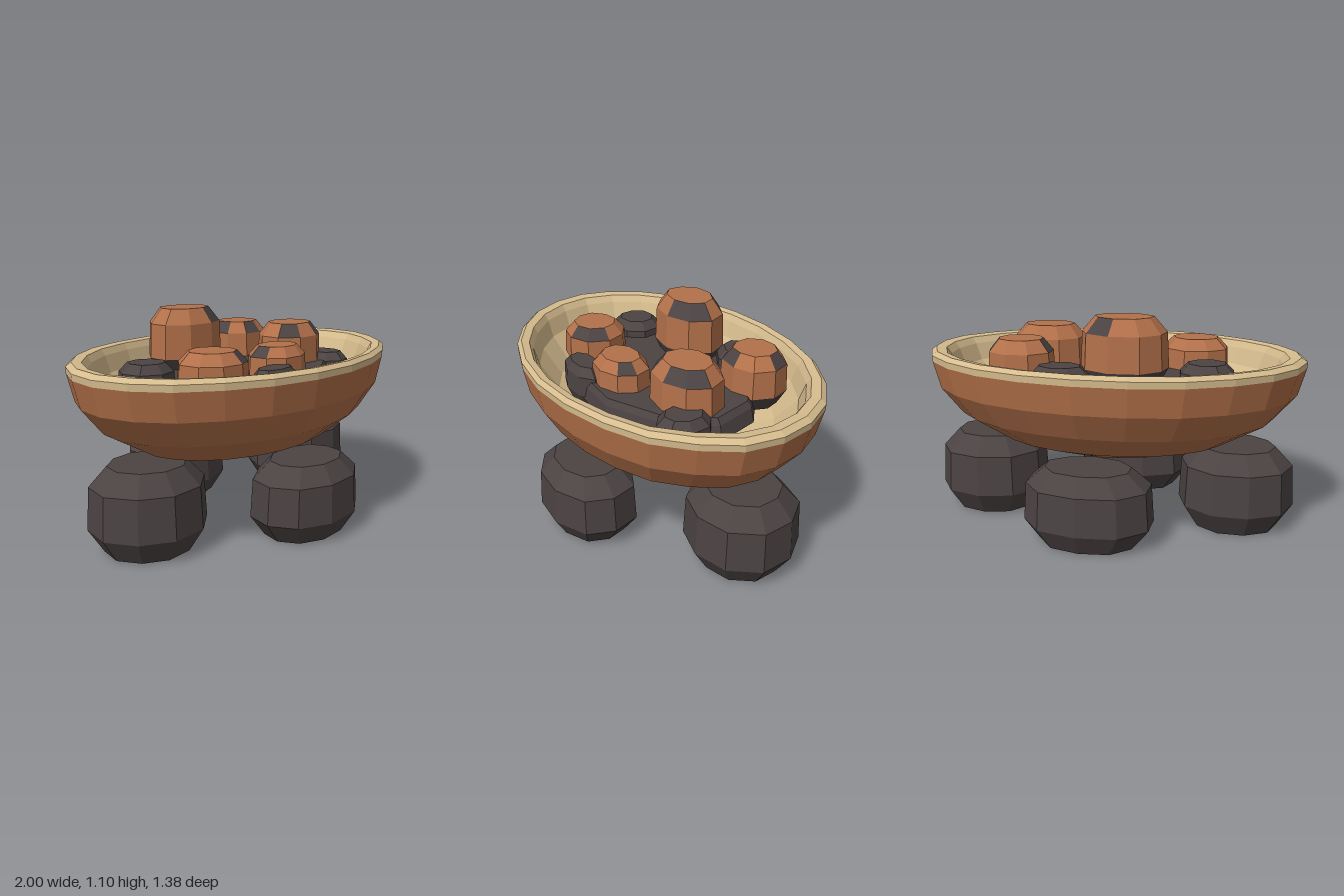
import * as THREE from 'three';

const material = (name, color) => {
  const m = new THREE.MeshStandardMaterial({ color });
  m.name = name;
  return m;
};

// Small seeded generator for hand-hewn irregularity
function seeded(seed) {
  let s = seed * 7919 + 17;
  return () => (s = (s * 16807) % 2147483647) / 2147483647;
}

// Faceted loft through elliptical rings [scale, y], bottom to top.
// pick(band, side) returns a material index; caps use bands -1 and rings.length - 1.
function loft({ rings, sides, rx, rz, seed = 1, wobble = 0, turn = 0, bottom = true, top = true, pick = () => 0 }) {
  const rand = seeded(seed);
  for (let k = 0; k < 5; k++) rand();
  const wob = Array.from({ length: sides }, () => 1 + (rand() - 0.5) * wobble);
  const point = (j, i) => {
    const k = i % sides, a = turn + (k / sides) * Math.PI * 2;
    const r = rings[j][0] * wob[k];
    return [Math.cos(a) * r * rx, rings[j][1], Math.sin(a) * r * rz];
  };
  const buckets = [[], []];
  const last = rings.length - 1;
  for (let i = 0; i < sides; i++) {
    for (let j = 0; j < last; j++) {
      const a = point(j, i), b = point(j, i + 1), c = point(j + 1, i + 1), d = point(j + 1, i);
      buckets[pick(j, i)].push(...a, ...d, ...c, ...a, ...c, ...b);
    }
    if (bottom) buckets[pick(-1, i)].push(0, rings[0][1], 0, ...point(0, i), ...point(0, i + 1));
    if (top) buckets[pick(last, i)].push(0, rings[last][1], 0, ...point(last, i + 1), ...point(last, i));
  }
  const geo = new THREE.BufferGeometry();
  geo.setAttribute('position', new THREE.Float32BufferAttribute(buckets.flat(), 3));
  geo.addGroup(0, buckets[0].length / 3, 0);
  if (buckets[1].length) geo.addGroup(buckets[0].length / 3, buckets[1].length / 3, 1);
  geo.computeVertexNormals();
  return geo;
}

// Chunky rock: tapered base, upright waist, tapered top
const rockRings = (y0, y1) => {
  const h = y1 - y0;
  return [[0.74, y0], [1, y0 + h * 0.28], [0.96, y0 + h * 0.78], [0.66, y1]];
};

export function createModel() {
  const copper = material('copper', 0xb3714a);
  const cream = material('cream', 0xd6bc8e);
  const charcoal = material('charcoal', 0x4c4343);

  const model = new THREE.Group();
  model.name = 'emberBowl';
  const add = (name, geo, mat, x = 0, z = 0) => {
    const mesh = new THREE.Mesh(geo, mat);
    mesh.name = name;
    mesh.position.set(x, 0, z);
    model.add(mesh);
  };

  // Bowl: outer shell, rim and lining share one irregular oval
  const oval = { sides: 24, rx: 1, rz: 0.693, seed: 4, wobble: 0.014 };
  add('bowlShell', loft({
    ...oval, top: false,
    rings: [[0.28, 0.35], [0.62, 0.44], [0.84, 0.565], [0.955, 0.7], [0.993, 0.84]],
  }), copper);
  add('bowlRim', loft({
    ...oval, bottom: false, top: false,
    rings: [[0.993, 0.84], [0.995, 0.872], [0.965, 0.892], [0.91, 0.885], [0.885, 0.85]],
  }), cream);
  add('bowlLining', loft({
    ...oval, bottom: false,
    rings: [[0.885, 0.85], [0.85, 0.76], [0.72, 0.63], [0.48, 0.53]],
  }), cream);

  // Stone feet: [name, x, z, rx, rz, height]
  const feet = [
    ['frontFoot', -0.015, 0.455, 0.335, 0.24, 0.385],
    ['backFoot', 0, -0.445, 0.33, 0.235, 0.385],
    ['rightFoot', -0.675, -0.01, 0.295, 0.27, 0.425],
    ['leftFoot', 0.66, -0.06, 0.298, 0.278, 0.425],
  ];
  feet.forEach(([name, x, z, rx, rz, h], i) => add(name,
    loft({ rings: rockRings(0, h), sides: 10, rx, rz, seed: 11 + i, wobble: 0.06, turn: i * 0.3 }),
    charcoal, x, z));

  // Bed of ash under the coals
  add('ashBed', loft({
    rings: [[0.85, 0.61], [1, 0.69], [0.97, 0.76], [0.93, 0.79]],
    sides: 11, rx: 0.68, rz: 0.435, seed: 23, wobble: 0.1, turn: 0.15,
  }), charcoal, -0.015, 0);

  // Glowing coals: [x, z, rx, rz, bottom, top, charred top facets]
  const glowing = [
    [-0.135, -0.25, 0.22, 0.17, 0.75, 1.1, [0, 1, 7]],
    [0.37, 0.08, 0.205, 0.17, 0.69, 1.0, [0, 1, 3]],
    [-0.415, 0.18, 0.18, 0.17, 0.7, 0.945, [0, 1]],
    [0.015, 0.25, 0.175, 0.14, 0.7, 0.93, [0, 4]],
    [0.385, -0.3, 0.175, 0.16, 0.7, 0.98, [2, 4, 8]],
  ];
  glowing.forEach(([x, z, rx, rz, y0, y1, charred], i) => add('glowingCoal',
    loft({
      rings: rockRings(y0, y1), sides: 9, rx, rz, seed: 31 + i, wobble: 0.08,
      pick: (band, side) => (band < 1 || (band === 2 && charred.includes(side)) ? 1 : 0),
    }), [copper, charcoal], x, z));

  // Burnt-out coals: [x, z, rx, rz, top]
  const burnt = [
    [-0.525, -0.145, 0.15, 0.14, 0.87],
    [0.155, -0.39, 0.165, 0.125, 0.87],
    [0.54, 0.21, 0.125, 0.14, 0.83],
    [-0.17, 0.365, 0.165, 0.09, 0.85],
  ];
  burnt.forEach(([x, z, rx, rz, top], i) => add('burntCoal',
    loft({ rings: rockRings(top - 0.2, top), sides: 8, rx, rz, seed: 41 + i, wobble: 0.08, turn: 0.2 }),
    charcoal, x, z));

  return model;
}
